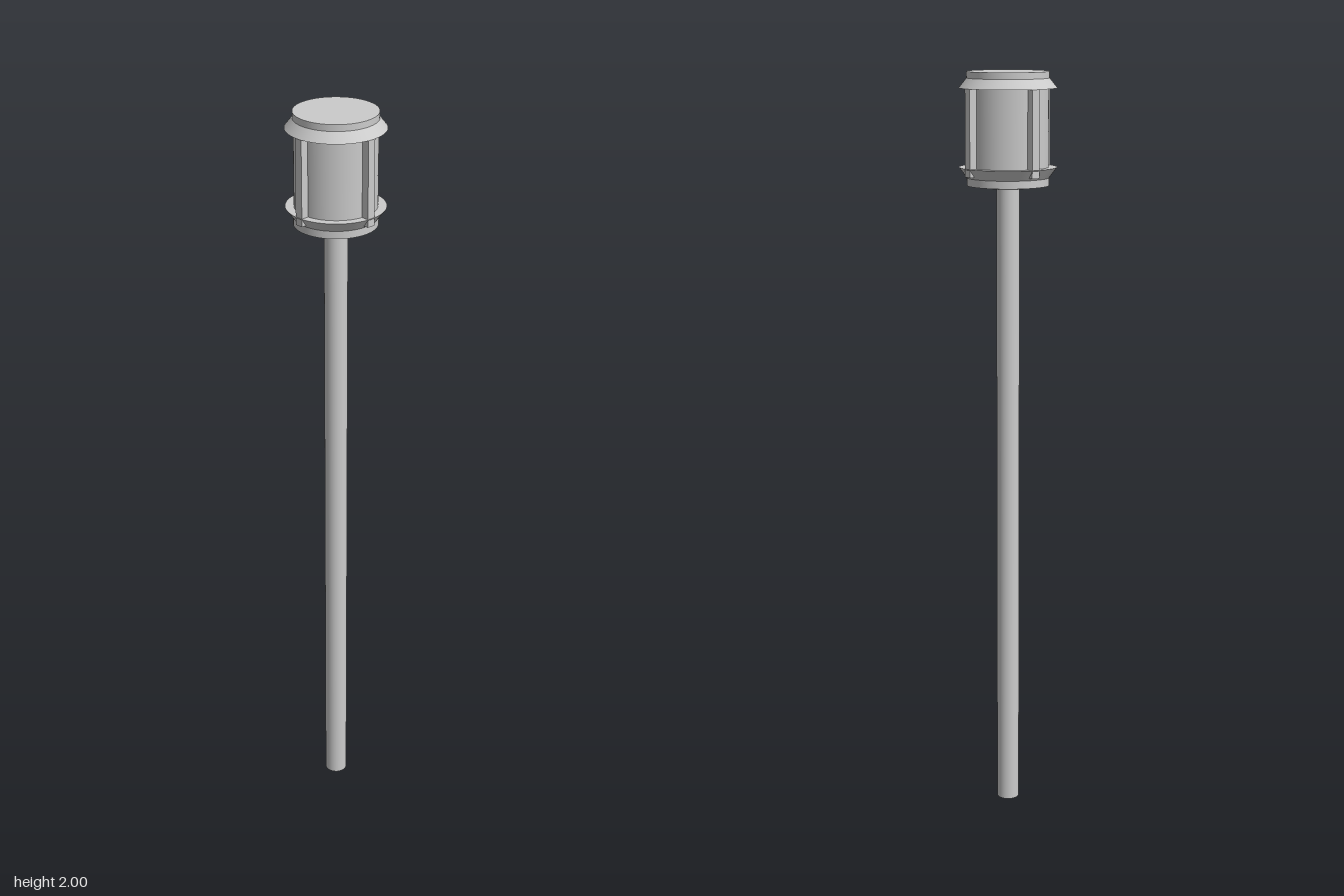
import * as THREE from 'three';

const material = new THREE.MeshStandardMaterial({ color: 0xcccccc });

// Turned solid: each straight run of the [radius, y] profile keeps a crisp edge.
function turned(name, profile) {
  const part = new THREE.Group();
  part.name = name;
  for (let i = 0; i < profile.length - 1; i++) {
    const run = [profile[i], profile[i + 1]].map(([r, y]) => new THREE.Vector2(r, y));
    const mesh = new THREE.Mesh(new THREE.LatheGeometry(run, 64), material);
    mesh.name = name + 'Surface';
    part.add(mesh);
  }
  return part;
}

export function createModel() {
  const model = new THREE.Group();
  model.name = 'lampPost';

  // Slender round pole
  const pole = new THREE.Mesh(new THREE.CylinderGeometry(0.03, 0.03, 1.71, 32), material);
  pole.name = 'pole';
  pole.position.y = 0.855;
  model.add(pole);

  // Base of the head: shallow underside, rim and flared lower flange
  model.add(turned('lowerFlange', [
    [0, 1.7], [0.03, 1.7], [0.107, 1.71], [0.107, 1.73], [0.127, 1.757], [0, 1.757],
  ]));

  // Drum between the flanges
  const drum = new THREE.Mesh(new THREE.CylinderGeometry(0.105, 0.105, 0.21, 64, 1, true), material);
  drum.name = 'drum';
  drum.position.y = 1.857;
  model.add(drum);

  // Cap with sloping shoulder
  model.add(turned('cap', [
    [0, 1.958], [0.127, 1.958], [0.107, 1.983], [0.107, 2], [0, 2],
  ]));

  // Four upright bars around the drum
  for (let i = 0; i < 4; i++) {
    const holder = new THREE.Group();
    holder.name = 'uprightBar';
    holder.rotation.y = (i * Math.PI) / 2;
    const bar = new THREE.Mesh(new THREE.BoxGeometry(0.022, 0.223, 0.025), material);
    bar.name = 'bar';
    bar.position.set(0, 1.8475, 0.1125);
    holder.add(bar);
    model.add(holder);
  }

  return model;
}
